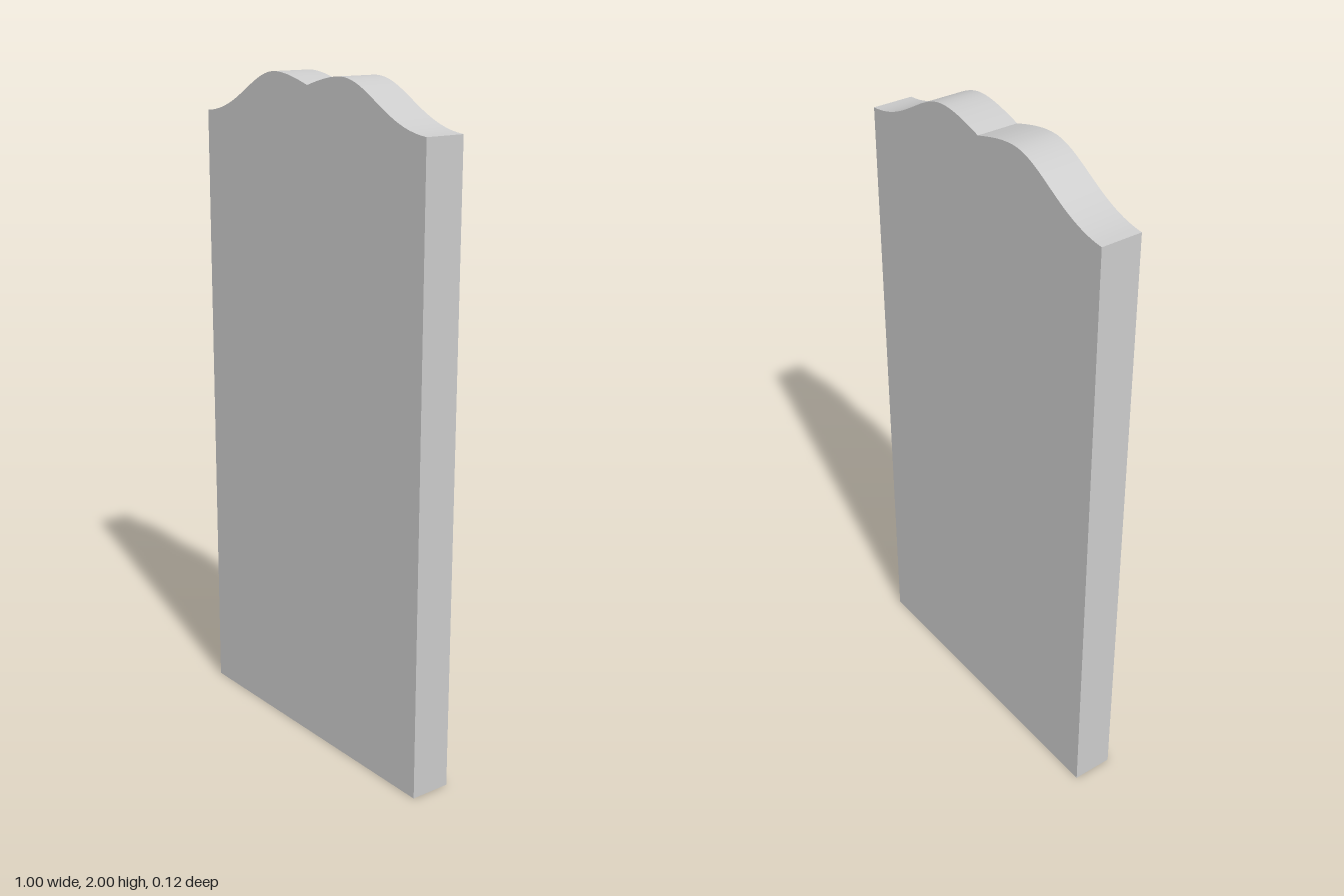
import * as THREE from 'three';
import { toCreasedNormals } from 'three/addons/utils/BufferGeometryUtils.js';

export function createModel() {
  const group = new THREE.Group();
  group.name = 'headstone';
  const depth = 0.125;

  // Upright slab outline with a twin-humped, scalloped top
  const outline = new THREE.Shape();
  outline.moveTo(-0.5, 0);
  outline.lineTo(0.5, 0);
  outline.lineTo(0.5, 1.87);
  outline.bezierCurveTo(0.34, 1.88, 0.26, 2, 0.15, 2);
  outline.bezierCurveTo(0.1, 2, 0.05, 1.985, 0, 1.97);
  outline.bezierCurveTo(-0.05, 1.985, -0.1, 2, -0.15, 2);
  outline.bezierCurveTo(-0.26, 2, -0.34, 1.88, -0.5, 1.87);
  outline.closePath();

  const extruded = new THREE.ExtrudeGeometry(outline, { depth, bevelEnabled: false, curveSegments: 20 });
  extruded.translate(0, 0, -depth / 2);

  // Smooth along the curves, sharp at the corners and the central notch
  const slab = new THREE.Mesh(
    toCreasedNormals(extruded, 0.3),
    new THREE.MeshStandardMaterial({ color: 0xcccccc })
  );
  slab.name = 'slab';
  group.add(slab);
  return group;
}
